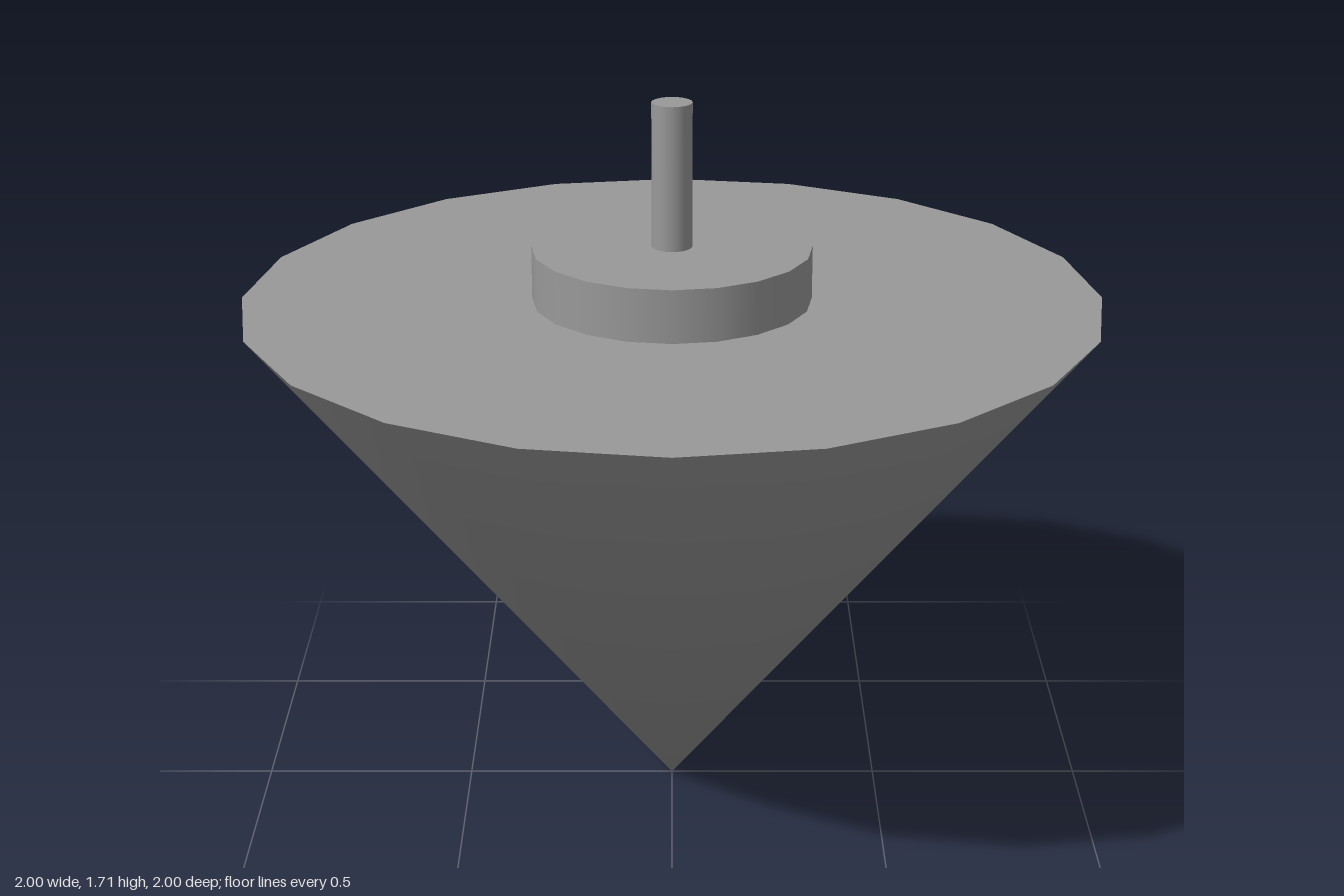
import * as THREE from 'three';
import { mergeVertices } from 'three/addons/utils/BufferGeometryUtils.js';

const SIDES = 20;
const RIM_Y = 1.245; // height of the flat top of the body
const DISC_Y = 1.37;
const STEM_Y = 1.71;

export function createModel() {
  const model = new THREE.Group();
  model.name = 'spinningTop';

  const grey = new THREE.MeshStandardMaterial({ color: 0x999999 });
  grey.name = 'grey';

  const add = (name, geometry, y) => {
    const mesh = new THREE.Mesh(geometry, grey);
    mesh.name = name;
    mesh.position.y = y;
    model.add(mesh);
  };

  // Upright cylinder between two heights
  const addCylinder = (name, radius, y0, y1) =>
    add(name, new THREE.CylinderGeometry(radius, radius, y1 - y0, SIDES), (y0 + y1) / 2);

  // Pointed body: one shared tip vertex, so the shading rounds off at the point
  let cone = new THREE.CylinderGeometry(1, 0, RIM_Y, SIDES, 1, true);
  cone.deleteAttribute('uv');
  cone.deleteAttribute('normal');
  cone = mergeVertices(cone);
  cone.computeVertexNormals();
  add('body', cone, RIM_Y / 2);

  // Flat lid closing the body
  const lid = new THREE.CircleGeometry(1, SIDES);
  lid.rotateX(-Math.PI / 2);
  add('bodyLid', lid, RIM_Y);

  // Raised disc and handle
  addCylinder('disc', 0.325, RIM_Y, DISC_Y);
  addCylinder('stem', 0.047, DISC_Y, STEM_Y);

  return model;
}
